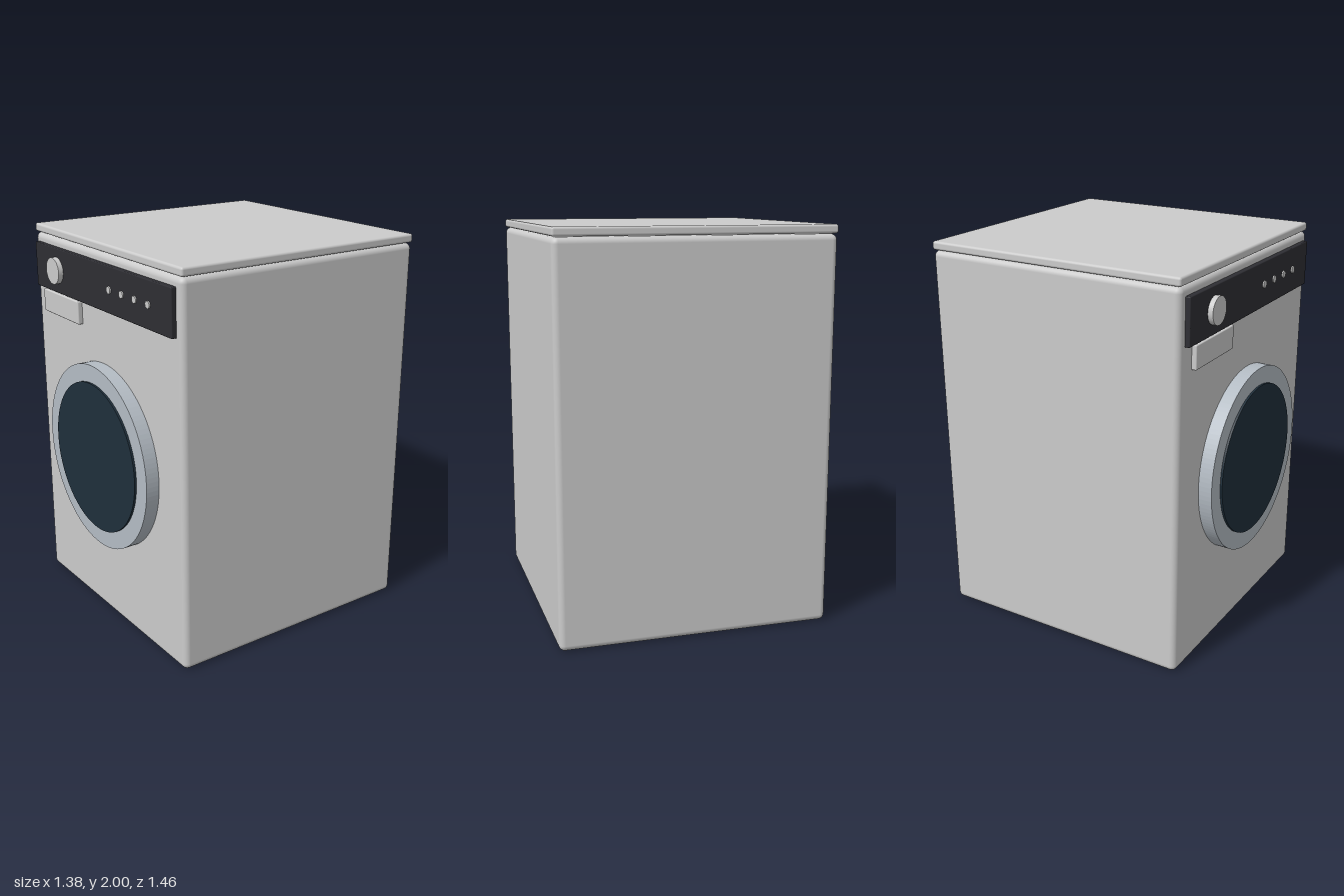
import * as THREE from 'three';
import { RoundedBoxGeometry } from 'three/addons/geometries/RoundedBoxGeometry.js';

const paint = (color) => new THREE.MeshStandardMaterial({ color });
const grey = paint(0xcccccc);
const dark = paint(0x2e2e33);
const steel = paint(0xb4bcc4);
const glass = paint(0x1f2f3b);

const FRONT = 0.65, BACK = -0.73;
const MID_Z = (FRONT + BACK) / 2;

export function createModel() {
  const group = new THREE.Group();

  const add = (name, geometry, material, x, y, z) => {
    const mesh = new THREE.Mesh(geometry, material);
    mesh.name = name;
    mesh.position.set(x, y, z);
    group.add(mesh);
    return mesh;
  };
  const box = (name, w, h, d, r, material, x, y, z) =>
    add(name, new RoundedBoxGeometry(w, h, d, 4, r), material, x, y, z);
  // Round part lying along z, from z0 to z1
  const disc = (name, rFront, rBack, z0, z1, material, x, y, sides = 64) => {
    const geometry = new THREE.CylinderGeometry(rFront, rBack, z1 - z0, sides);
    geometry.rotateX(Math.PI / 2);
    return add(name, geometry, material, x, y, (z0 + z1) / 2);
  };

  // Cabinet, worktop and dark underside
  box('cabinet', 1.38, 1.953, FRONT - BACK, 0.03, grey, 0, 0.9785, MID_Z);
  box('worktop', 1.38, 0.043, FRONT - BACK, 0.012, grey, 0, 1.9785, MID_Z);
  add('basePlate', new THREE.BoxGeometry(1.32, 0.02, 1.32), dark, 0, 0.01, MID_Z);

  // Control panel and detergent drawer
  box('controlPanel', 1.29, 0.23, 0.035, 0.005, dark, 0, 1.795, 0.6575);
  box('detergentDrawer', 0.37, 0.118, 0.035, 0.006, grey, -0.393, 1.615, 0.6575);

  // Programme knob and row of buttons
  disc('programmeKnob', 0.068, 0.068, 0.66, 0.701, grey, -0.415, 1.797, 40);
  for (let i = 0; i < 4; i++) {
    disc('button' + (i + 1), 0.018, 0.018, 0.66, 0.682, grey, 0.113 + i * 0.115, 1.797, 20);
  }

  // Door ring, open in the middle, with the glass set in it
  const ring = new THREE.Shape().absarc(0, 0, 0.48, 0, Math.PI * 2);
  ring.holes.push(new THREE.Path().absarc(0, 0, 0.38, 0, Math.PI * 2, true));
  const ringGeometry = new THREE.ExtrudeGeometry(ring, {
    depth: 0.08, bevelEnabled: false, curveSegments: 64,
  });
  add('doorRing', ringGeometry, steel, 0, 0.92, 0.64);
  disc('doorGlass', 0.39, 0.39, 0.66, 0.731, glass, 0, 0.92);

  return group;
}
